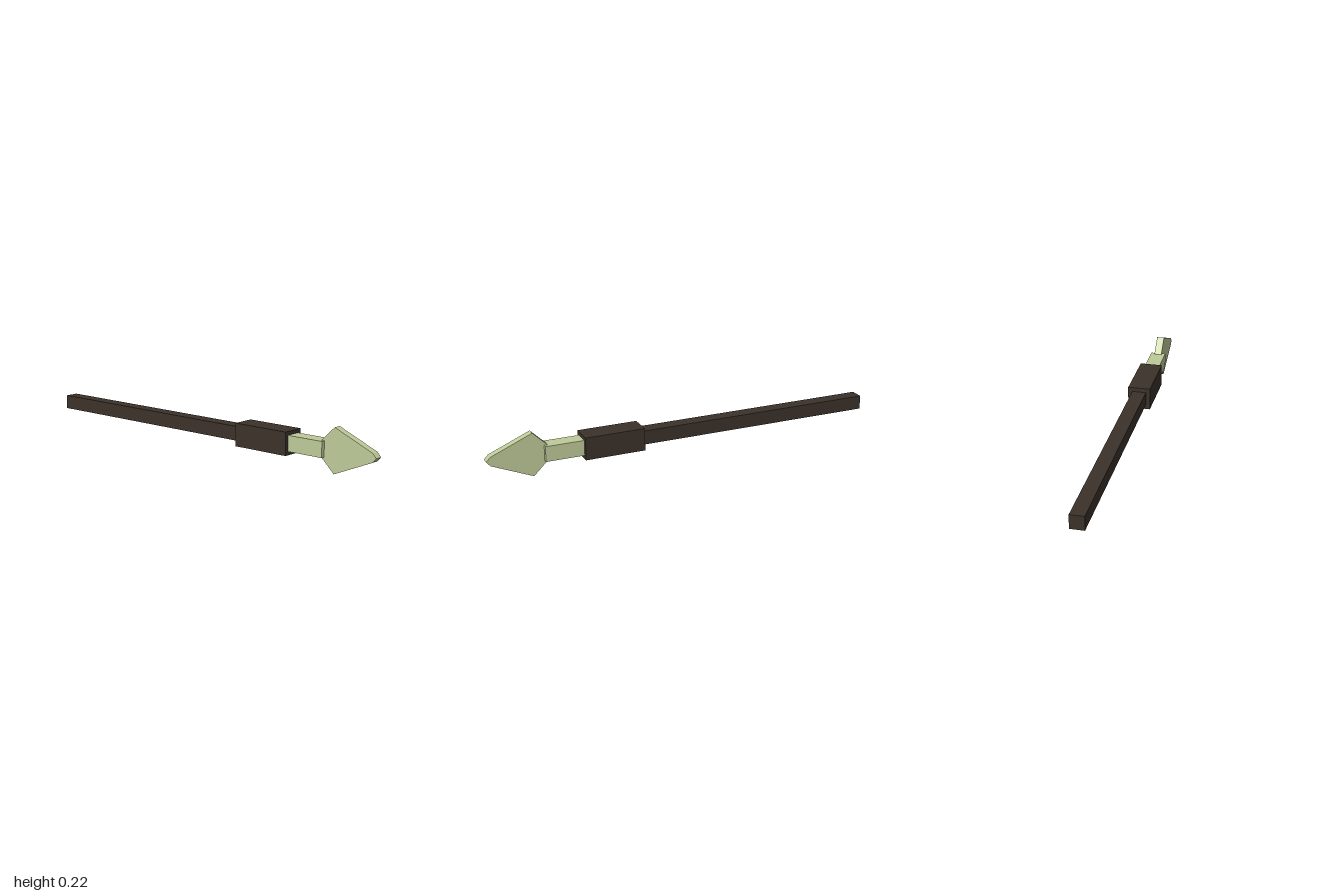
import * as THREE from 'three';

const AXIS_Y = 0.1085;

export function createModel() {
  const group = new THREE.Group();
  const darkWood = new THREE.MeshStandardMaterial({ color: 0x3b322a });
  darkWood.name = 'darkWood';
  const paleStone = new THREE.MeshStandardMaterial({ color: 0xbecb99 });
  paleStone.name = 'paleStone';

  // Square bar running along z between two ends
  const bar = (name, size, z0, z1, material) => {
    const mesh = new THREE.Mesh(new THREE.BoxGeometry(size, size, z1 - z0), material);
    mesh.position.set(0, AXIS_Y, (z0 + z1) / 2);
    mesh.name = name;
    group.add(mesh);
  };
  bar('shaft', 0.07, -1, 0.23, darkWood);
  bar('collar', 0.113, 0.225, 0.528, darkWood);
  bar('socket', 0.077, 0.52, 0.72, paleStone);

  // Flat spearhead: half outline as [z, height], mirrored about the axis
  const half = [[0.703, 0.039], [0.775, 0.1085], [0.98, 0.022]];
  const outline = [
    ...half.map(([z, h]) => new THREE.Vector2(-z, h)),
    new THREE.Vector2(-1, 0),
    ...half.slice().reverse().map(([z, h]) => new THREE.Vector2(-z, -h)),
  ];
  const thickness = 0.038;
  const geometry = new THREE.ExtrudeGeometry(new THREE.Shape(outline), {
    depth: thickness, bevelEnabled: false,
  });
  geometry.translate(0, 0, -thickness / 2);
  geometry.rotateY(Math.PI / 2);
  const blade = new THREE.Mesh(geometry, paleStone);
  blade.position.y = AXIS_Y;
  blade.name = 'spearhead';
  group.add(blade);

  return group;
}
